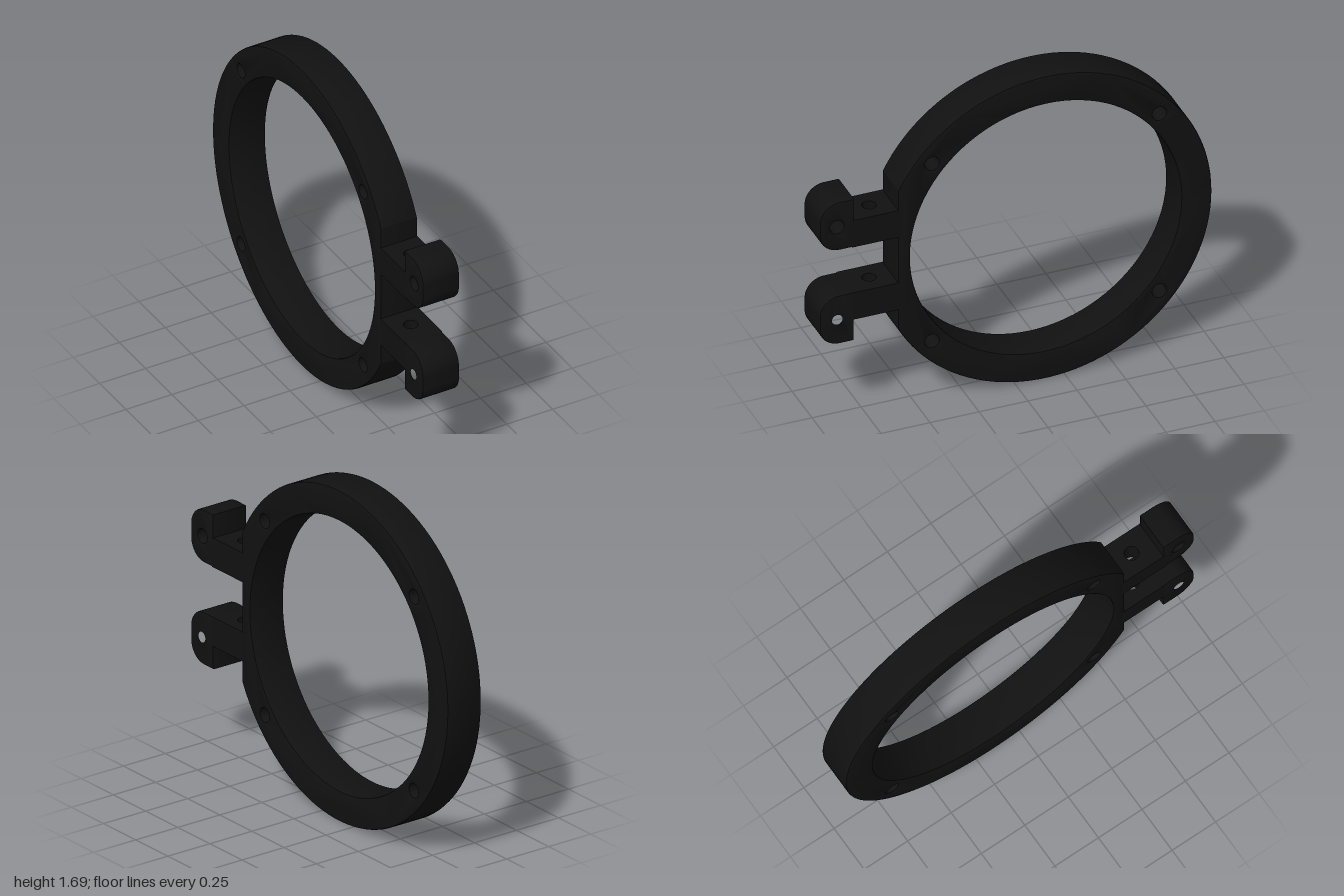
import * as THREE from 'three';
import { toCreasedNormals } from 'three/addons/utils/BufferGeometryUtils.js';

const HALF = 0.1;        // half thickness along x
const EDGE = 0.008;      // softened rim edges
const CY = 0.847, CZ = -0.153;
const HOLE = 0.035;

const circle = (a, b, r) => new THREE.Path().absarc(a, b, r, 0, Math.PI * 2, true);

// Extrude a (z, y) profile across x, centred on x = 0
function plate(shape, curveSegments) {
  const geo = new THREE.ExtrudeGeometry(shape, {
    depth: 2 * (HALF - EDGE), curveSegments,
    bevelSize: EDGE, bevelThickness: EDGE, bevelOffset: -EDGE, bevelSegments: 2,
  });
  geo.translate(0, 0, EDGE - HALF).rotateY(-Math.PI / 2);
  return toCreasedNormals(geo, 0.5);
}

export function createModel() {
  const group = new THREE.Group();
  const material = new THREE.MeshStandardMaterial({ color: 0x111111 });
  const add = (name, geo) => {
    const mesh = new THREE.Mesh(geo, material);
    mesh.name = name;
    group.add(mesh);
  };

  // Ring with a flat front and four screw holes
  const outer = 0.847, cut = Math.acos((0.6 - CZ) / outer);
  const ring = new THREE.Shape();
  ring.absarc(CZ, CY, outer, cut, Math.PI * 2 - cut, false);
  ring.closePath();
  ring.holes.push(circle(CZ, CY, 0.692));
  for (const sz of [-1, 1]) for (const sy of [-1, 1]) {
    ring.holes.push(circle(CZ + sz * 0.58, CY + sy * 0.497, HOLE));
  }
  add('ring', plate(ring, 48));

  // Two clamp arms, mirrored about the ring's middle height
  for (const s of [1, -1]) {
    const side = s > 0 ? 'upper' : 'lower';
    const y = (d) => CY + s * d;

    // Neck with a vertical bolt hole
    const strip = new THREE.Shape([[-HALF, 0.585], [HALF, 0.585], [HALF, 0.835], [-HALF, 0.835]]
      .map(([x, z]) => new THREE.Vector2(x, z)));
    strip.holes.push(circle(0, 0.71, HOLE));
    const neck = new THREE.ExtrudeGeometry(strip, { depth: 0.15, bevelEnabled: false, curveSegments: 16 });
    neck.translate(0, 0, -0.075).rotateX(Math.PI / 2).translate(0, y(0.203), 0);
    add(side + 'ArmNeck', toCreasedNormals(neck, 0.5));

    // Rounded end lug with a cross hole
    const r = 0.1, lo = 0.128, hi = 0.396;
    const lug = new THREE.Shape();
    lug.moveTo(0.825, y(lo));
    lug.lineTo(1 - r, y(lo));
    lug.absarc(1 - r, y(lo + r), r, -s * Math.PI / 2, 0, s < 0);
    lug.lineTo(1, y(hi - r));
    lug.absarc(1 - r, y(hi - r), r, 0, s * Math.PI / 2, s < 0);
    lug.lineTo(0.825, y(hi));
    lug.closePath();
    lug.holes.push(circle(0.912, y(0.259), HOLE));
    add(side + 'ArmLug', plate(lug, 12));
  }
  return group;
}
